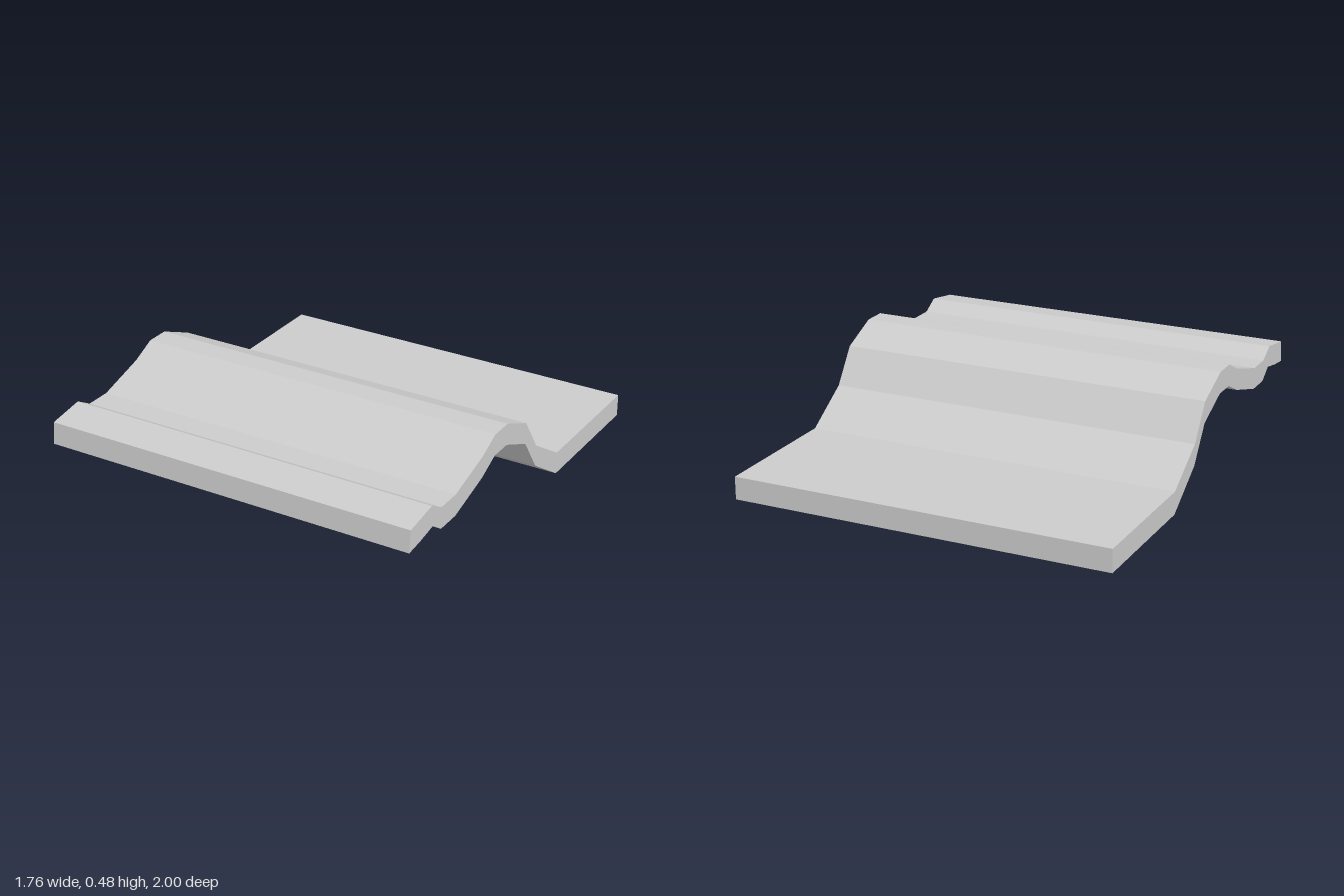
import * as THREE from 'three';

const WIDTH = 1.76;

// Side outline as [z, y]: upper surface front to back, then underside back to front
const upper = [
  [0.99, 0.38], [0.82, 0.406], [0.74, 0.36], [0.62, 0.36], [0.39, 0.427], [0.28, 0.48],
  [0.17, 0.48], [-0.01, 0.402], [-0.12, 0.243], [-0.34, 0.105], [-1, 0.105],
];
const under = [
  [-1, 0], [-0.34, 0], [-0.12, 0.143], [-0.01, 0.302], [0.17, 0.38], [0.28, 0.38],
  [0.39, 0.327], [0.62, 0.26], [0.74, 0.26], [0.81, 0.308], [0.91, 0.29], [1, 0.28],
];

export function createModel() {
  const group = new THREE.Group();
  group.name = 'moulding';

  const lightGrey = new THREE.MeshStandardMaterial({ color: 0xcccccc });
  lightGrey.name = 'lightGrey';

  // One profile swept straight across the width
  const shape = new THREE.Shape([...upper, ...under].map(([z, y]) => new THREE.Vector2(z, y)));
  const geometry = new THREE.ExtrudeGeometry(shape, { depth: WIDTH, bevelEnabled: false });
  geometry.translate(0, 0, -WIDTH / 2);
  geometry.rotateY(-Math.PI / 2);

  const profile = new THREE.Mesh(geometry, lightGrey);
  profile.name = 'mouldingProfile';
  group.add(profile);
  return group;
}
